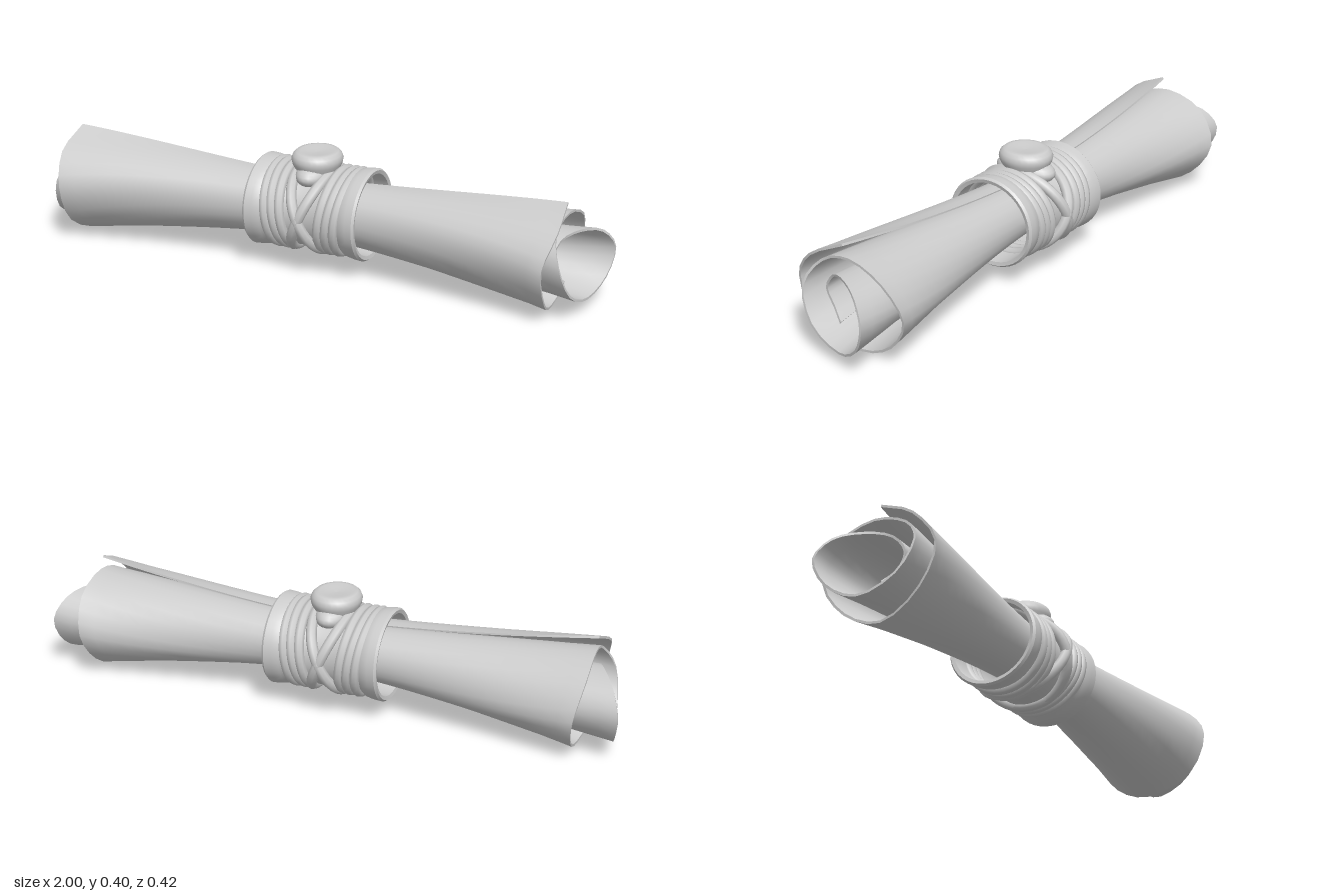
import * as THREE from 'three';
import { toCreasedNormals } from 'three/addons/utils/BufferGeometryUtils.js';

const material = new THREE.MeshStandardMaterial({ color: 0xcccccc, side: THREE.DoubleSide });
const { lerp } = THREE.MathUtils;

function part(name, geometry, parent) {
  const mesh = new THREE.Mesh(geometry, material);
  mesh.name = name;
  parent.add(mesh);
  return mesh;
}

// Rolled sheet: spiral of [z, y, half length], one entry every 45 degrees from the outer edge inwards
const SPIRAL = [
  [.015, .377, .885], [.14, .315, .895], [.21, .21, .87], [.15, .07, .865],
  [-.01, .001, .84], [-.14, .055, .85], [-.21, .17, .87], [-.145, .285, .89],
  [-.01, .335, .885], [.105, .3, .88], [.162, .21, .91], [.11, .095, .935],
  [-.02, .042, .955], [-.115, .09, .985], [-.153, .185, 1], [-.105, .255, .97],
  [-.02, .277, .92], [.06, .26, .88], [.1, .2, .87], [.07, .14, .87], [.03, .105, .89],
];

function sheetGeometry() {
  const curve = new THREE.CatmullRomCurve3(SPIRAL.map(p => new THREE.Vector3(...p)));
  const turns = 60, along = 32;
  const position = [], index = [];
  const ring = 2 * (turns + 1);

  // Point of the sheet: the end spiral shrinks and twists into a tight roll in the middle
  const section = (t, w) => {
    const end = curve.getPoint(t);
    const offset = new THREE.Vector2(end.x + 0.01, end.y - 0.195);
    const radius = lerp(0.104 - 0.03 * t, offset.length(), w);
    offset.setLength(radius).rotateAround(new THREE.Vector2(), (0.45 + 0.35 * t) * (1 - w));
    return new THREE.Vector2(
      lerp(-0.027 * t, -0.01, w) + offset.x,
      lerp(0.205 - 0.012 * t, 0.195, w) + offset.y * lerp(1 - 0.14 * t, 1, w));
  };

  for (let j = 0; j <= along; j++) {
    const s = 2 * j / along - 1, w = Math.abs(s) ** 1.5;
    const thick = lerp(0.004, 0.008, w);
    const outer = [], inner = [];
    for (let i = 0; i <= turns; i++) {
      const t = i / turns;
      const x = s * curve.getPoint(t).z;
      const p = section(t, w);
      const d = section(Math.min(1, t + 0.005), w).sub(section(Math.max(0, t - 0.005), w)).normalize();
      outer.push([x, p.y, p.x]);
      inner.unshift([x, p.y - d.x * thick, p.x + d.y * thick]);
    }
    position.push(...outer.flat(), ...inner.flat());
  }
  const quad = (a, b, c, d) => index.push(a, b, c, a, c, d);
  for (let j = 0; j < along; j++) {
    for (let i = 0; i < ring; i++) {
      const k = (i + 1) % ring;
      quad(j * ring + i, j * ring + k, (j + 1) * ring + k, (j + 1) * ring + i);
    }
  }
  // Paper edge at both ends
  for (let i = 0; i < turns; i++) {
    const a = i, b = i + 1, c = ring - 2 - i, d = ring - 1 - i, e = along * ring;
    quad(e + a, e + b, e + c, e + d);
    quad(d, c, b, a);
  }
  const g = new THREE.BufferGeometry();
  g.setAttribute('position', new THREE.Float32BufferAttribute(position, 3));
  g.setIndex(index);
  return toCreasedNormals(g, 0.8);
}

// Closed cord loop around the roll; lean shifts the top and bottom sideways
function cordGeometry(x, lean, ry, rz, radius) {
  const points = [];
  for (let i = 0; i < 24; i++) {
    const a = i / 24 * Math.PI * 2;
    points.push(new THREE.Vector3(x + lean * Math.cos(a), ry * Math.cos(a), rz * Math.sin(a)));
  }
  return new THREE.TubeGeometry(new THREE.CatmullRomCurve3(points, true), 48, radius, 8, true);
}

export function createModel() {
  const model = new THREE.Group();
  model.name = 'tiedScroll';
  part('rolledSheet', sheetGeometry(), model);

  // Loose band with raised rims, turned about the x axis
  const binding = new THREE.Group();
  binding.name = 'binding';
  binding.position.set(0, 0.205, -0.022);
  model.add(binding);
  const profile = [
    [.138, -.2], [.15, -.203], [.156, -.195], [.154, -.17], [.149, -.145], [.138, -.13], [.134, 0],
    [.138, .13], [.149, .145], [.154, .17], [.156, .195], [.15, .203], [.138, .2], [.126, 0], [.138, -.2],
  ].map(p => new THREE.Vector2(...p));
  const band = part('band', toCreasedNormals(new THREE.LatheGeometry(profile, 40), 0.7), binding);
  band.rotation.z = -Math.PI / 2;
  band.scale.z = 1.07;

  // Cords: leaning side wraps and a crossed pair in the middle
  for (const side of [-1, 1]) {
    [[.07, .018], [.098, .02], [.126, .016]].forEach(([x, lean], i) =>
      part('wrapCord' + (i + 1), cordGeometry(side * x, side * lean, .137, .15, .017), binding));
    part('crossedCord', cordGeometry(0, side * .058, .134, .166, .018), binding);
  }

  // Knot of cord under the seal
  const knot = part('knot', new THREE.SphereGeometry(1, 24, 14), model);
  knot.position.set(0, 0.33, -0.02);
  knot.scale.set(0.062, 0.045, 0.113);

  // Cushion-shaped seal with a slightly dished face
  const sealProfile = [
    [0, -.02], [.055, -.02], [.064, .01], [.074, .032], [.083, .05],
    [.086, .066], [.081, .08], [.07, .09], [.056, .092], [.035, .087], [0, .085],
  ].map(p => new THREE.Vector2(...p));
  const seal = part('seal', new THREE.LatheGeometry(sealProfile, 28), model);
  seal.position.set(0, 0.313, -0.02);
  seal.scale.z = 1.08;
  return model;
}
